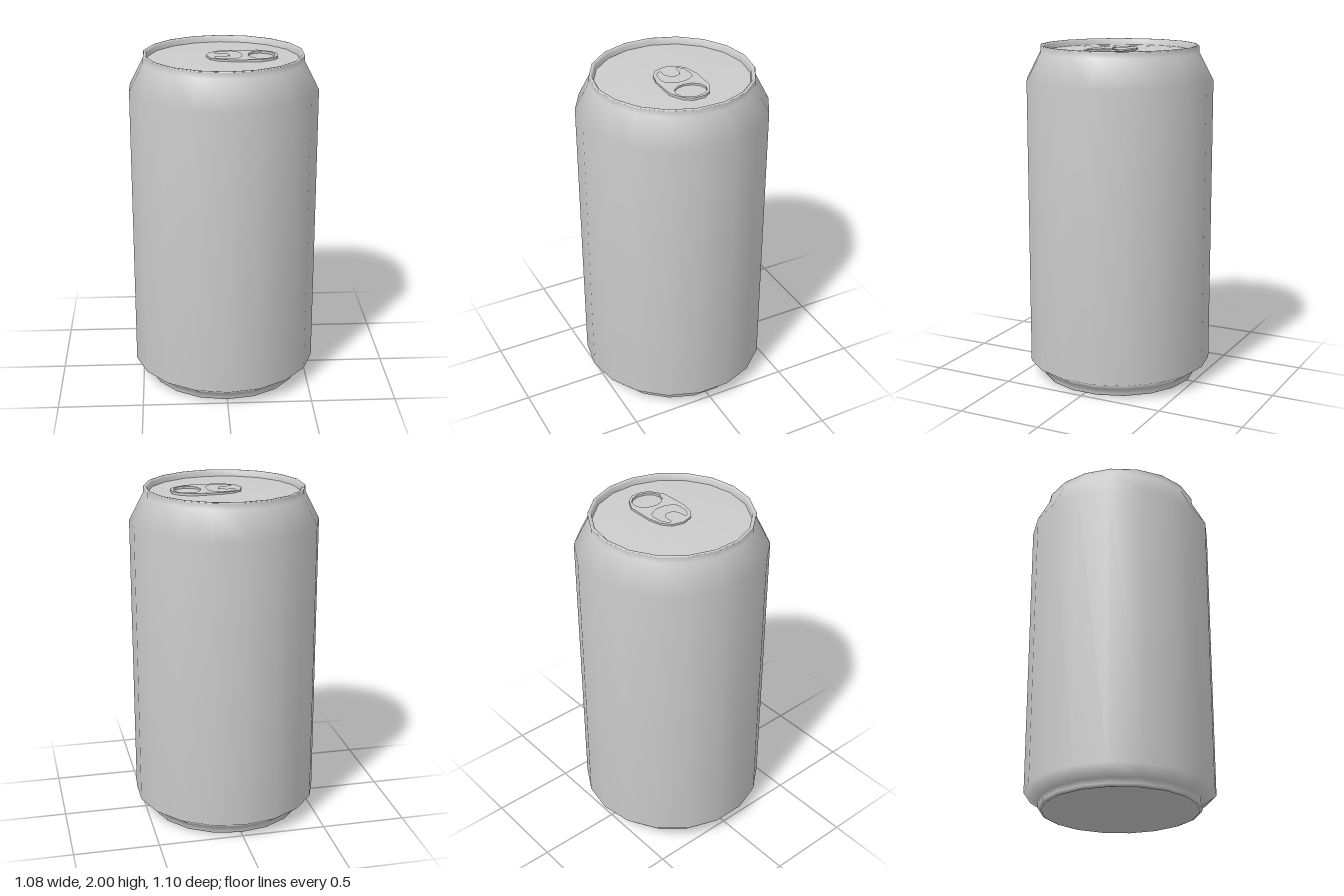
import * as THREE from 'three';

const SIDES = 18;
const material = new THREE.MeshStandardMaterial({ color: 0xcccccc });

// Solid of revolution from [radius, height] pairs, listed bottom to top on the outside
function turned(name, profile) {
  const points = profile.map(([r, y]) => new THREE.Vector2(r, y));
  const mesh = new THREE.Mesh(new THREE.LatheGeometry(points, SIDES), material);
  mesh.name = name;
  return mesh;
}

// Closed outline from its upper half, mirrored across the x axis
function mirrored(half) {
  const lower = half.filter(([, y]) => y > 0).reverse().map(([x, y]) => [x, -y]);
  return [...half, ...lower].map(([x, y]) => new THREE.Vector2(x, y));
}

function createPullTab() {
  const shape = new THREE.Shape(mirrored([
    [-0.1, 0], [-0.08, 0.07], [-0.03, 0.107], [0.05, 0.125],
    [0.205, 0.122], [0.28, 0.08], [0.31, 0.035],
  ]));
  // Finger hole
  const finger = [];
  for (let i = 0; i < 12; i++) {
    const a = (i / 12) * Math.PI * 2;
    finger.push(new THREE.Vector2(0.218 + 0.078 * Math.cos(a), 0.092 * Math.sin(a)));
  }
  shape.holes.push(new THREE.Path(finger));
  // C-shaped slot around the rivet tongue
  shape.holes.push(new THREE.Path(mirrored([
    [0.035, 0], [0.025, 0.03], [0, 0.047], [-0.055, 0.05], [-0.05, 0.065],
    [-0.02, 0.088], [0.05, 0.092], [0.075, 0.083], [0.1, 0.04], [0.105, 0],
  ].filter(([x, y]) => !(x === 0.105 && y === 0)).concat([[0.104, 0.01]]))));
  const geometry = new THREE.ExtrudeGeometry(shape, { depth: 0.014, bevelEnabled: false });
  geometry.rotateX(-Math.PI / 2);
  const tab = new THREE.Mesh(geometry, material);
  tab.name = 'pullTab';
  tab.position.y = 1.97;
  return tab;
}

export function createModel() {
  const can = new THREE.Group();
  can.name = 'drinkCan';
  can.add(
    // Concave underside
    turned('base', [[0, 0.06], [0.15, 0.054], [0.29, 0.037], [0.4, 0.015], [0.45, 0]]),
    // Foot, straight wall and tapered neck
    turned('body', [
      [0.45, 0], [0.462, 0.004], [0.468, 0.015], [0.47, 0.045], [0.55, 0.1],
      [0.55, 1.8], [0.467, 1.96], [0.466, 1.995],
    ]),
    // Rolled rim and its inner wall
    turned('rim', [[0.466, 1.995], [0.463, 2], [0.453, 2], [0.444, 1.99], [0.44, 1.962]]),
    // Gently domed lid
    turned('lid', [[0.442, 1.963], [0.3, 1.969], [0.15, 1.973], [0, 1.974]]),
    createPullTab(),
  );
  return can;
}
